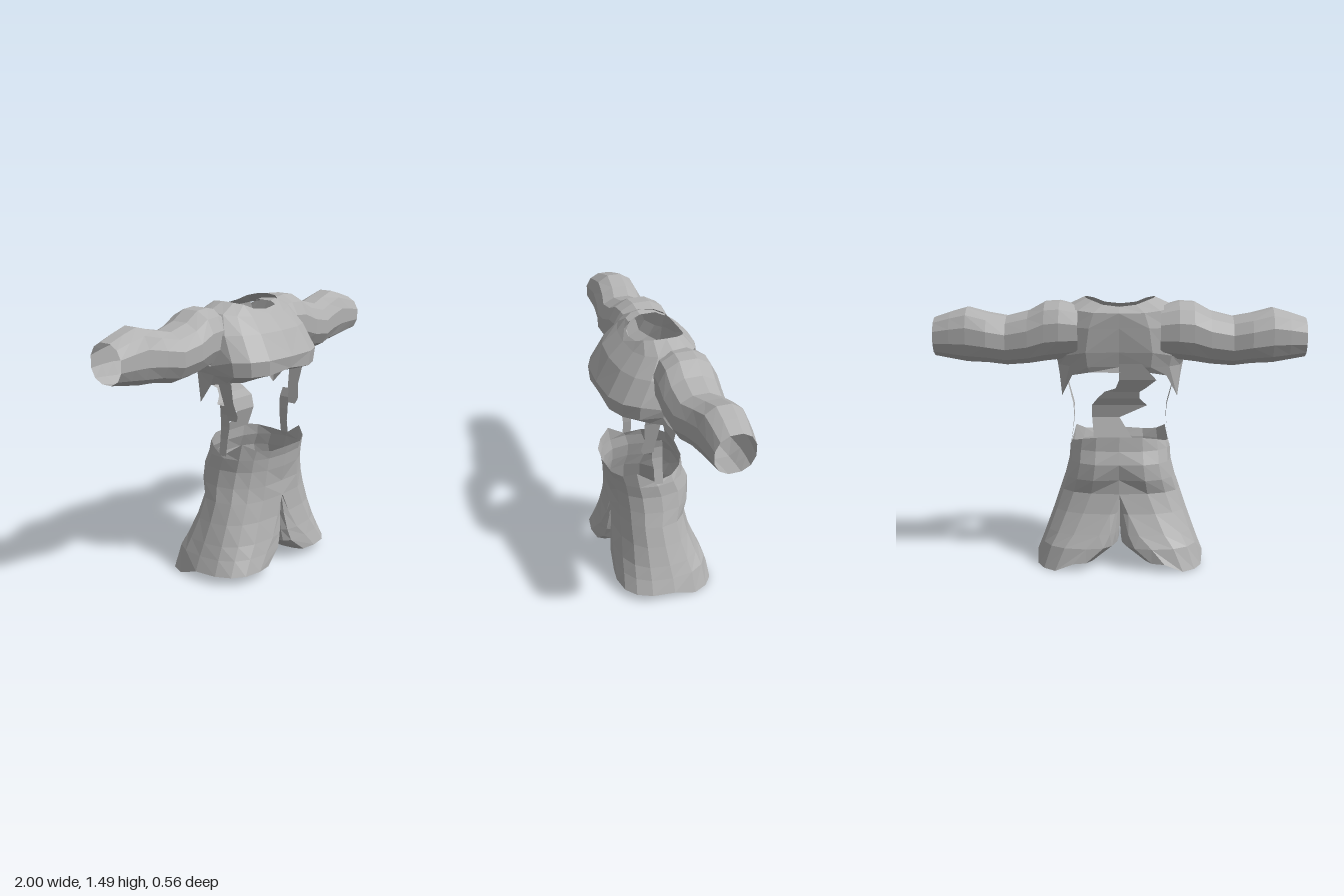
import * as THREE from 'three';

const cloth = new THREE.MeshStandardMaterial({ color: 0xb2b2b2, side: THREE.DoubleSide, flatShading: true });
cloth.name = 'grey cloth';

// Skin a list of point rows; closed rows wrap round, skip(i, j) leaves a hole
function loft(name, rows, { closed = true, flip = false, skip = () => false } = {}) {
  const pos = [];
  const n = rows[0].length;
  const tri = (a, b, c) => pos.push(...a, ...(flip ? c : b), ...(flip ? b : c));
  for (let i = 0; i < rows.length - 1; i++) {
    for (let j = 0; j < (closed ? n : n - 1); j++) {
      if (skip(i, j)) continue;
      const k = (j + 1) % n;
      const [a, b, c, d] = [rows[i][j], rows[i][k], rows[i + 1][k], rows[i + 1][j]];
      if (j < n / 2) { tri(a, d, b); tri(b, d, c); } else { tri(a, d, c); tri(a, c, b); }
    }
  }
  const g = new THREE.BufferGeometry();
  g.setAttribute('position', new THREE.Float32BufferAttribute(pos, 3));
  g.computeVertexNormals();
  const m = new THREE.Mesh(g, cloth);
  m.name = name;
  return m;
}

const N = 16;
const spow = (v, e) => (Math.abs(v) < 1e-6 ? 0 : Math.sign(v) * Math.abs(v) ** e);
const mirror = (rows, s) => rows.map(r => r.map(([x, y, z]) => [s * x, y, z]));

// Horizontal ring: height, half width, back and front z, rounding, centre dents,
// and height offsets listed from the front centre round to the back centre
function bodyRing({ y, w, z0, z1, e = 0.8, front = 0, back = 0, lift = [] }) {
  return Array.from({ length: N }, (_, j) => {
    const t = (j / N) * Math.PI * 2;
    let z = (z0 + z1) / 2 + ((z1 - z0) / 2) * spow(Math.cos(t), e);
    if (j === 0) z -= front;
    if (j === N / 2) z += back;
    return [w * spow(Math.sin(t), e), y + (lift[Math.min(j, N - j)] ?? 0), z];
  });
}

// Leg ring: wide outer half, inner half squarer at the front, split at cx
function legRing([y, xi, cx, xo, z0, z1], drop = 0) {
  return Array.from({ length: N }, (_, j) => {
    const t = (j / N) * Math.PI * 2, s = Math.sin(t), c = Math.cos(t);
    const square = s < -0.01 && c > 0.01;
    const x = cx + (s > 0 ? (xo - cx) * spow(s, 0.8) : (cx - xi) * spow(s, square ? 0.4 : 0.65));
    return [x, y - (c < -0.2 && s > 0.2 ? drop : 0),
      (z0 + z1) / 2 + ((z1 - z0) / 2) * spow(c, square ? 0.55 : 0.8)];
  });
}

// Sleeve ring around the x axis
function armRing([x, y0, y1, z0, z1]) {
  return Array.from({ length: 12 }, (_, j) => {
    const t = ((j + 0.5) / 12) * Math.PI * 2;
    return [x, (y0 + y1) / 2 + ((y1 - y0) / 2) * 1.03 * spow(Math.sin(t), 0.9),
      (z0 + z1) / 2 + ((z1 - z0) / 2) * 1.03 * spow(Math.cos(t), 0.9)];
  });
}

export function createModel() {
  const model = new THREE.Group();
  model.name = 'outfit';

  // Chest and back with arm holes, hanging lower below the armpits
  const armHole = (i, j) => (i === 1 || i === 2) && [4, 5, 10, 11].includes(j);
  model.add(loft('chest', [
    bodyRing({ y: 1.45, w: 0.19, z0: -0.18, z1: 0.1, lift: [-0.005, 0.005, 0.03, 0.04, 0.045, 0.04, 0.03, 0.01, 0] }),
    bodyRing({ y: 1.42, w: 0.29, z0: -0.23, z1: 0.13, lift: [0, 0, 0.01, 0.02, 0.03, 0.02, 0.01, 0, 0] }),
    bodyRing({ y: 1.34, w: 0.345, z0: -0.24, z1: 0.21, back: 0.015 }),
    bodyRing({ y: 1.21, w: 0.365, z0: -0.235, z1: 0.288, e: 0.75, front: 0.005, back: 0.025, lift: [0, 0, 0, 0, -0.03, -0.04, -0.02] }),
    bodyRing({ y: 1.13, w: 0.348, z0: -0.215, z1: 0.28, e: 0.75, front: 0.01, back: 0.025, lift: [0.015] }),
    bodyRing({ y: 1.09, w: 0.335, z0: -0.2, z1: 0.2, lift: [0.03, 0.015, 0, 0, -0.02, -0.13, -0.01, 0.01, 0.01] }),
  ], { skip: armHole }));

  // Sleeves with shoulder, upper arm and forearm bulges
  const sleeve = [
    [0.22, 1.18, 1.45, -0.23, 0.06], [0.32, 1.165, 1.475, -0.24, 0.075], [0.4, 1.155, 1.47, -0.235, 0.08],
    [0.49, 1.14, 1.42, -0.225, 0.085], [0.61, 1.13, 1.39, -0.205, 0.08], [0.71, 1.145, 1.41, -0.22, 0.055],
    [0.82, 1.15, 1.44, -0.215, 0.04], [0.91, 1.165, 1.415, -0.2, 0.035], [1, 1.18, 1.385, -0.18, 0.03],
  ].map(armRing);

  // Torn side straps
  const strap = (pts) => pts.map(([x, y, z0, z1]) => [[x, y, z1], [x, y, z0]]);
  const upperStrap = strap([[0.335, 1.15, 0, 0.11], [0.31, 1.08, 0.03, 0.12], [0.285, 0.98, 0.04, 0.11],
    [0.265, 0.9, 0.05, 0.125], [0.258, 0.87, 0.05, 0.11]]);
  const lowerStrap = strap([[0.275, 0.95, 0.01, 0.05], [0.26, 0.9, 0, 0.06], [0.256, 0.83, 0, 0.06],
    [0.262, 0.76, 0, 0.05], [0.275, 0.67, 0, 0.05]]);

  // Trouser legs that touch along the inner thigh and flare to the hem
  const leg = [
    legRing([0.42, 0, 0, 0.335, -0.175, 0.225]),
    legRing([0.31, 0, 0.05, 0.372, -0.195, 0.23]),
    legRing([0.2, 0, 0.11, 0.412, -0.235, 0.245]),
    legRing([0.13, 0.005, 0.18, 0.438, -0.262, 0.255]),
    legRing([0.05, 0.12, 0.25, 0.47, -0.28, 0.268], 0.045),
  ];

  for (const [side, s] of [['left', 1], ['right', -1]]) {
    const flip = s < 0;
    model.add(loft(side + 'Sleeve', mirror(sleeve, s), { flip }));
    model.add(loft(side + 'UpperStrap', mirror(upperStrap, s), { closed: false, flip }));
    model.add(loft(side + 'LowerStrap', mirror(lowerStrap, s), { closed: false, flip }));
    model.add(loft(side + 'Leg', mirror(leg, s), { flip }));
  }

  // Jagged strip left along the spine
  const spine = [
    [1.15, -0.12, 0, -0.21], [1.06, -0.2, 0, -0.19], [1.01, -0.14, 0.02, -0.165], [0.99, -0.11, 0.08, -0.155],
    [0.95, -0.11, 0.12, -0.14], [0.91, -0.15, 0.15, -0.12], [0.84, 0, 0.15, -0.105], [0.73, -0.07, 0.14, -0.14],
  ].map(([y, x0, x1, z]) => [[x1, y, z], [x0, y, z]]);
  model.add(loft('spineStrip', spine, { closed: false }));

  // Uneven waistband and hips down to the top of the legs
  model.add(loft('hips', [
    bodyRing({ y: 0.72, w: 0.27, z0: -0.17, z1: 0.26, lift: [-0.01, -0.015, -0.005, 0.03, -0.035, -0.02, 0, 0.015, 0.02] }),
    bodyRing({ y: 0.66, w: 0.28, z0: -0.178, z1: 0.243 }),
    bodyRing({ y: 0.59, w: 0.285, z0: -0.21, z1: 0.235, back: 0.012 }),
    bodyRing({ y: 0.5, w: 0.308, z0: -0.208, z1: 0.228, front: 0.01, back: 0.03 }),
    bodyRing({ y: 0.42, w: 0.335, z0: -0.175, z1: 0.225 }),
  ]));

  return model;
}
